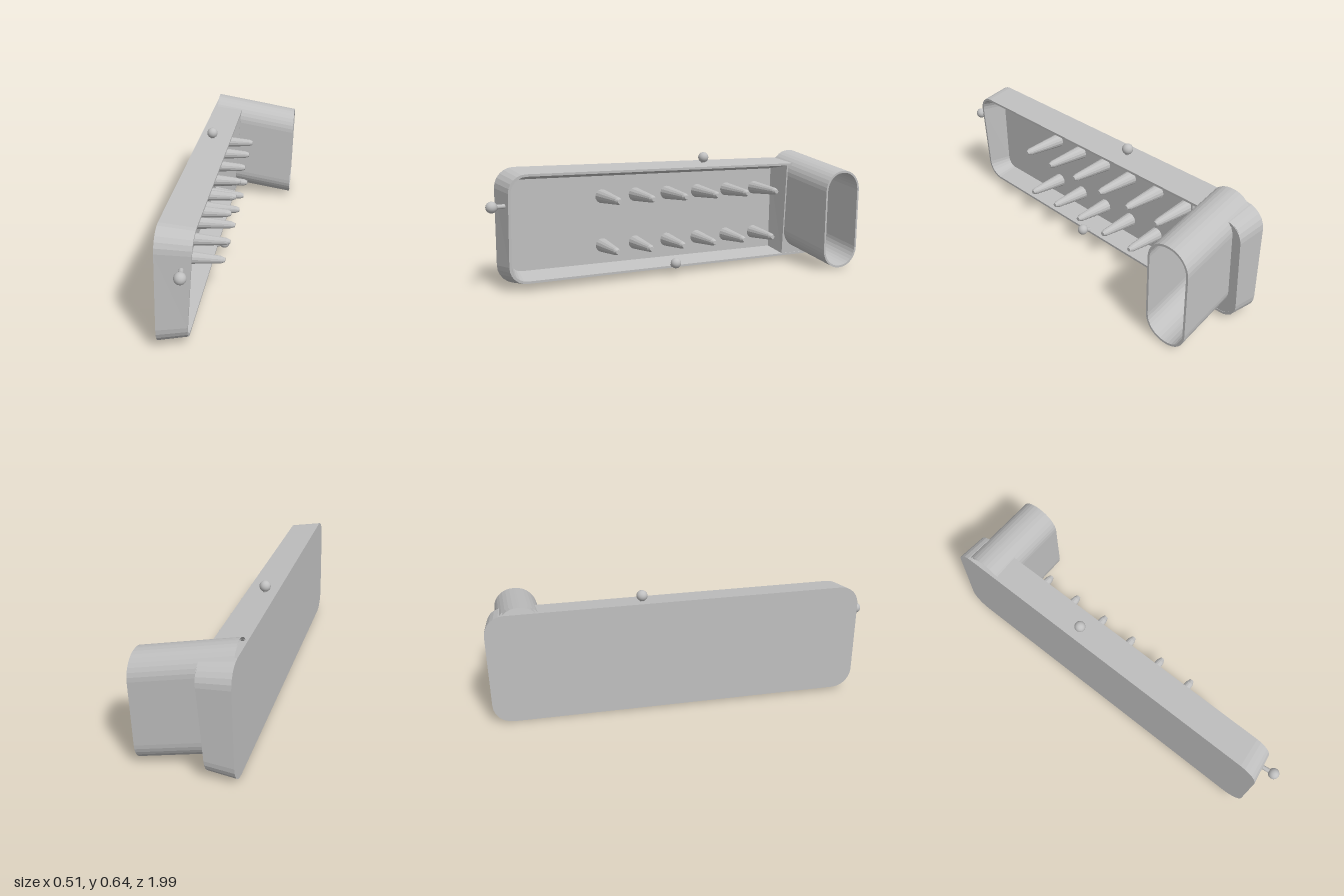
import * as THREE from 'three';

const grey = new THREE.MeshStandardMaterial({ color: 0xc0c0c0, side: THREE.DoubleSide });
grey.name = 'light grey';

// Tray space: u along the length, v upwards, t from the back plate (0) to the rim (1)
function trayPoint(u, v, t) {
  const d = t * (0.148 + 0.05 * v);
  return new THREE.Vector3(
    -0.135 + 0.12 * u + 0.993 * d + 0.015 * v,
    0.304 + 0.01 * u + v,
    -0.018 + 0.993 * u - 0.12 * d);
}

// Rounded rectangle as a counter-clockwise list of [a, b]
function roundedLoop(a0, a1, b0, b1, r, steps = 6) {
  const pts = [];
  [[a1 - r, b1 - r], [a0 + r, b1 - r], [a0 + r, b0 + r], [a1 - r, b0 + r]].forEach(([a, b], k) => {
    for (let i = 0; i <= steps; i++) {
      const q = (k + i / steps) * Math.PI / 2;
      pts.push([a + r * Math.cos(q), b + r * Math.sin(q)]);
    }
  });
  return pts;
}

// Faceted skin through closed loops, with optional end caps
function loft(loops, capStart, capEnd) {
  const pos = [];
  const tri = (...p) => p.forEach(q => pos.push(q.x, q.y, q.z));
  const n = loops[0].length;
  for (let k = 0; k < loops.length - 1; k++) {
    const A = loops[k], B = loops[k + 1];
    for (let i = 0; i < n; i++) {
      const j = (i + 1) % n;
      tri(B[i], B[j], A[j]);
      tri(B[i], A[j], A[i]);
    }
  }
  const E = loops[loops.length - 1];
  for (let i = 1; i < n - 1; i++) {
    if (capStart) tri(loops[0][0], loops[0][i], loops[0][i + 1]);
    if (capEnd) tri(E[0], E[i + 1], E[i]);
  }
  const g = new THREE.BufferGeometry();
  g.setAttribute('position', new THREE.Float32BufferAttribute(pos, 3));
  g.computeVertexNormals();
  return g;
}

function part(group, name, geometry) {
  const m = new THREE.Mesh(geometry, grey);
  m.name = name;
  group.add(m);
  return m;
}

// Place a geometry built along +y so that it starts at a and points to b
function aim(mesh, a, b) {
  mesh.position.copy(a);
  mesh.quaternion.setFromUnitVectors(new THREE.Vector3(0, 1, 0), b.clone().sub(a).normalize());
}

export function createModel() {
  const model = new THREE.Group();

  // Open tray: outer wall, thin rim, sloping inner wall and floor
  const trayLoop = (a0, a1, h, r, t) =>
    roundedLoop(a0, a1, -h, h, r).map(([u, v]) => trayPoint(u, v, t));
  part(model, 'tray', loft([
    trayLoop(-0.96, 0.96, 0.292, 0.1, 0),
    trayLoop(-0.955, 0.936, 0.27, 0.09, 1),
    trayLoop(-0.943, 0.924, 0.258, 0.08, 1),
    trayLoop(-0.92, 0.897, 0.231, 0.055, 0.14),
  ], true, true));

  // Wall closing the peg compartment
  const wallLoop = (u, h, t) =>
    [[u, -h], [u, h], [u - 0.008, h], [u - 0.008, -h]].map(([a, b]) => trayPoint(a, b, t));
  part(model, 'compartmentWall', loft([wallLoop(-0.655, 0.235, 0.1), wallLoop(-0.672, 0.262, 0.99)], true, true));

  // Cover around the foot of the tube
  const cover = new THREE.Shape();
  cover.moveTo(-0.672, -0.12);
  cover.lineTo(-0.672, -0.266);
  cover.lineTo(-0.87, -0.266);
  cover.quadraticCurveTo(-0.95, -0.266, -0.95, -0.18);
  cover.lineTo(-0.95, 0.18);
  cover.quadraticCurveTo(-0.95, 0.25, -0.9, 0.262);
  cover.lineTo(-0.9, -0.12);
  cover.quadraticCurveTo(-0.895, -0.218, -0.795, -0.218);
  cover.quadraticCurveTo(-0.69, -0.218, -0.685, -0.12);
  const coverGeo = new THREE.ShapeGeometry(cover, 6);
  const p = coverGeo.attributes.position;
  for (let i = 0; i < p.count; i++) {
    const q = trayPoint(p.getX(i), p.getY(i), 0.985);
    p.setXYZ(i, q.x, q.y, q.z);
  }
  // Turn the faces towards the open side
  const order = Array.from(coverGeo.index.array).reverse();
  coverGeo.setIndex(order);
  const coverFlat = coverGeo.toNonIndexed();
  coverFlat.computeVertexNormals();
  part(model, 'tubeFootCover', coverFlat);

  // Leaning oval tube, open at the mouth
  const tubeLoop = (dx, inset) =>
    roundedLoop(-0.113 + inset, 0.113 - inset, -0.268 + inset, 0.268 - inset, 0.108 - inset, 8)
      .map(([z, y]) => new THREE.Vector3(
        0.237 + dx + 0.13 * z + 0.02 * y,
        0.278 - 0.185 * dx + y,
        -0.885 - 0.19 * dx + z));
  part(model, 'tube', loft([tubeLoop(-0.452, 0), tubeLoop(0, 0), tubeLoop(0, 0.011), tubeLoop(-0.452, 0.011)]));

  // Two rows of tapered pegs
  for (const [row, v, length] of [['upper', 0.125, 0.235], ['lower', -0.135, 0.212]]) {
    const profile = [[0.037, 0], [0.019, length - 0.02], [0.011, length], [0, length]]
      .map(([r, y]) => new THREE.Vector2(r, y));
    const geo = new THREE.LatheGeometry(profile, 14).toNonIndexed();
    geo.computeVertexNormals();
    for (let i = 0; i < 6; i++) {
      const a = trayPoint(0.406 - 0.189 * i, v, 0.1);
      aim(part(model, row + 'Peg', geo), a, a.clone().add(new THREE.Vector3(0.993, 0, -0.12)));
    }
  }

  // Small ball knobs on short stems
  const ball = new THREE.SphereGeometry(0.028, 18, 12);
  const knobs = [
    ['endKnob', [0.108, 0.43, 0.967], [0.088, 0.43, 0.885]],
    ['topKnob', [-0.087, 0.615, -0.2], [-0.087, 0.57, -0.2]],
    ['bottomKnob', [0.04, 0.068, 0.01], [-0.01, 0.045, 0.015]],
  ];
  for (const [name, top, foot] of knobs) {
    const a = new THREE.Vector3(...foot), b = new THREE.Vector3(...top);
    part(model, name, ball).position.copy(b);
    const length = a.distanceTo(b);
    const stem = new THREE.CylinderGeometry(0.011, 0.011, length, 12).translate(0, length / 2, 0);
    aim(part(model, name + 'Stem', stem), a, b);
  }
  return model;
}
